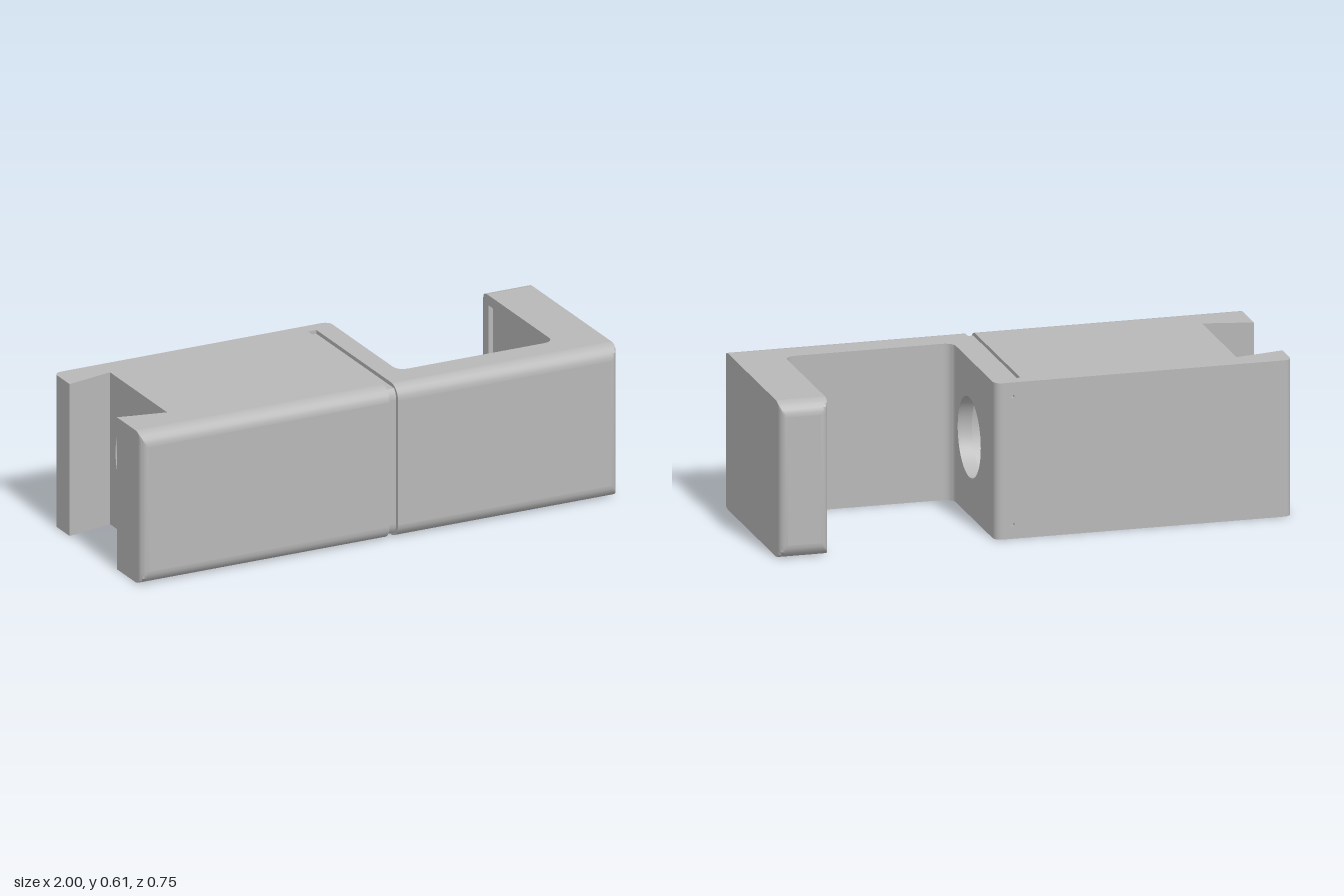
import * as THREE from 'three';
import { mergeGeometries, toCreasedNormals } from 'three/addons/utils/BufferGeometryUtils.js';

const H = 0.608, R = 0.055, FRONT = 0.375, ARM_BACK = -0.38;
const GROOVE = 0.015;

// Walls that are replaced by separate panels with openings
const openWalls = [
  { axis: 'x', at: 0.155, along: 'z', min: -0.315, max: 0.18 },
  { axis: 'x', at: 0.81, along: 'z', min: -0.325, max: 0.18 },
  { axis: 'x', at: -0.81, along: 'z', min: -0.255, max: 0.21 },
  { axis: 'z', at: -0.345, along: 'x', min: -0.97, max: 0.125 },
];

// How far the rounded edge draws back at height y
function inset(y) {
  const d = Math.min(y, H - y);
  return d < R ? R - Math.sqrt(Math.max(0, R * R - (R - d) ** 2)) : 0;
}

// Plan outline; each corner is [x, z, fillet radius]
function outline(grooveZ) {
  const pts = [
    [-1, FRONT, 0.03], [0.04, FRONT], [0.04, grooveZ], [0.075, grooveZ], [0.075, FRONT],
    [1, FRONT, 0.03], [1, ARM_BACK, 0.03], [0.81, ARM_BACK, 0.03], [0.81, -0.325],
    [0.81, 0.22, 0.04], [0.155, 0.22, 0.04], [0.155, -0.345, 0.03], [-1, -0.345, 0.03],
    [-1, -0.215], [-0.81, -0.255], [-0.81, 0.21], [-1, 0.17],
  ].map(([x, z, r = 0]) => ({ p: new THREE.Vector2(x, -z), r }));
  const s = new THREE.Shape();
  pts.forEach(({ p, r }, i) => {
    const toPrev = pts.at(i - 1).p.clone().sub(p).normalize();
    const toNext = pts[(i + 1) % pts.length].p.clone().sub(p).normalize();
    const at = (dir, d) => p.clone().addScaledVector(dir, d);
    const a = at(toPrev, r), b = at(toNext, r);
    if (i === 0) s.moveTo(a.x, a.y); else s.lineTo(a.x, a.y);
    if (r) {
      const c = at(toPrev, r * 0.45), d = at(toNext, r * 0.45);
      s.bezierCurveTo(c.x, c.y, d.x, d.y, b.x, b.y);
    }
  });
  s.closePath();
  return s;
}

// Stack of layers of one outline, drawn in where the long edges are rounded
function layered(grooveZ, levels) {
  const n = levels.length - 1;
  const g = new THREE.ExtrudeGeometry(outline(grooveZ), {
    depth: 1, steps: n, bevelEnabled: false, curveSegments: 6,
  });
  g.rotateX(-Math.PI / 2);
  const pos = g.attributes.position;
  for (let i = 0; i < pos.count; i++) {
    const x = pos.getX(i), y = levels[Math.round(pos.getY(i) * n)];
    let z = pos.getZ(i);
    const inGroove = Math.abs(z - (FRONT - GROOVE)) < 1e-4 && x > 0.03 && x < 0.08;
    z = Math.min(z, FRONT - inset(y) - (inGroove ? GROOVE : 0));
    if (x > 0.5) z = Math.max(z, ARM_BACK + inset(y));
    pos.setXYZ(i, x, y, z);
  }
  return g;
}

// Drop the open walls, and keep flat faces flat
function finish(geometry) {
  const g = toCreasedNormals(geometry, 0.4);
  const pos = g.attributes.position, nor = g.attributes.normal;
  const outP = [], outN = [];
  const tri = new THREE.Triangle(), n = new THREE.Vector3();
  for (let i = 0; i < pos.count; i += 3) {
    tri.setFromAttributeAndIndices(pos, i, i + 1, i + 2);
    if (tri.getArea() < 1e-9) continue;
    const v = [tri.a, tri.b, tri.c];
    if (openWalls.some(w => v.every(p => Math.abs(p[w.axis] - w.at) < 1e-4 &&
      p[w.along] > w.min - 1e-4 && p[w.along] < w.max + 1e-4))) continue;
    tri.getNormal(n);
    const flat = Math.max(Math.abs(n.x), Math.abs(n.y), Math.abs(n.z)) > 0.9999;
    v.forEach((p, k) => {
      outP.push(p.x, p.y, p.z);
      if (flat) outN.push(n.x, n.y, n.z);
      else outN.push(nor.getX(i + k), nor.getY(i + k), nor.getZ(i + k));
    });
  }
  const out = new THREE.BufferGeometry();
  out.setAttribute('position', new THREE.Float32BufferAttribute(outP, 3));
  out.setAttribute('normal', new THREE.Float32BufferAttribute(outN, 3));
  return out;
}

function circle(u, y, r) {
  return new THREE.Path().absarc(u, y, r, 0, Math.PI * 2, true);
}

function rect(u0, u1, y0, y1, Type = THREE.Path) {
  return new Type([[u0, y0], [u1, y0], [u1, y1], [u0, y1]].map(p => new THREE.Vector2(...p)));
}

export function createModel() {
  const model = new THREE.Group();
  const grey = new THREE.MeshStandardMaterial({ color: 0xb8b8b8, side: THREE.DoubleSide });
  grey.name = 'grey';
  const add = (name, geometry) => {
    const m = new THREE.Mesh(geometry, grey);
    m.name = name;
    model.add(m);
    return m;
  };

  // Body: core, plus thin top and bottom slabs carrying the groove
  const low = [0, 0.002, 0.007, GROOVE];
  const half = [GROOVE, 0.027, 0.04, R];
  const flip = a => a.map(y => H - y).reverse();
  add('body', finish(mergeGeometries([
    layered(FRONT - GROOVE, [...half, ...flip(half)]),
    layered(-0.29, low),
    layered(-0.29, flip(low)),
  ])));

  // Wall panel with openings; u runs to the right as seen from outside
  function panel(name, u0, u1, holes, depth, turn, x, z, backed) {
    const s = rect(u0, u1, 0, H, THREE.Shape);
    s.holes.push(...holes);
    const g = new THREE.ExtrudeGeometry(s, { depth, bevelEnabled: false, curveSegments: 32 });
    g.translate(0, 0, -depth);
    const m = add(name, toCreasedNormals(g, 0.5));
    m.rotation.y = turn;
    m.position.set(x, 0, z);
    if (backed) {
      const floor = new THREE.Mesh(new THREE.PlaneGeometry(u1 - u0, H), grey);
      floor.name = name + 'Floor';
      floor.position.set((u0 + u1) / 2, H / 2, -depth);
      m.add(floor);
    }
  }
  const Q = Math.PI / 2, mid = H / 2;
  panel('boreWall', -0.18, 0.315, [circle(0, mid, 0.155)], 0.02, Q, 0.155, 0);
  panel('dovetailWall', -0.255, 0.21, [circle(-0.005, mid, 0.205)], 0.02, -Q, -0.81, 0);
  panel('armPocket', -0.325, 0.18, [rect(-0.315, 0.09, 0.04, 0.568)], 0.02, -Q, 0.81, 0, true);
  panel('backWall', -0.125, 0.97,
    [circle(-0.085, 0.055, 0.006), circle(-0.085, H - 0.055, 0.006)], 0.02, Math.PI, 0, -0.345, true);

  // Stepped bore running through the body
  const bore = new THREE.LatheGeometry(
    [[0.205, -0.8], [0.205, 0.1], [0.155, 0.1], [0.155, 0.145]].map(p => new THREE.Vector2(...p)), 64);
  bore.rotateZ(-Q);
  add('bore', toCreasedNormals(bore, 0.5)).position.set(0, mid, -0.003);

  return model;
}
